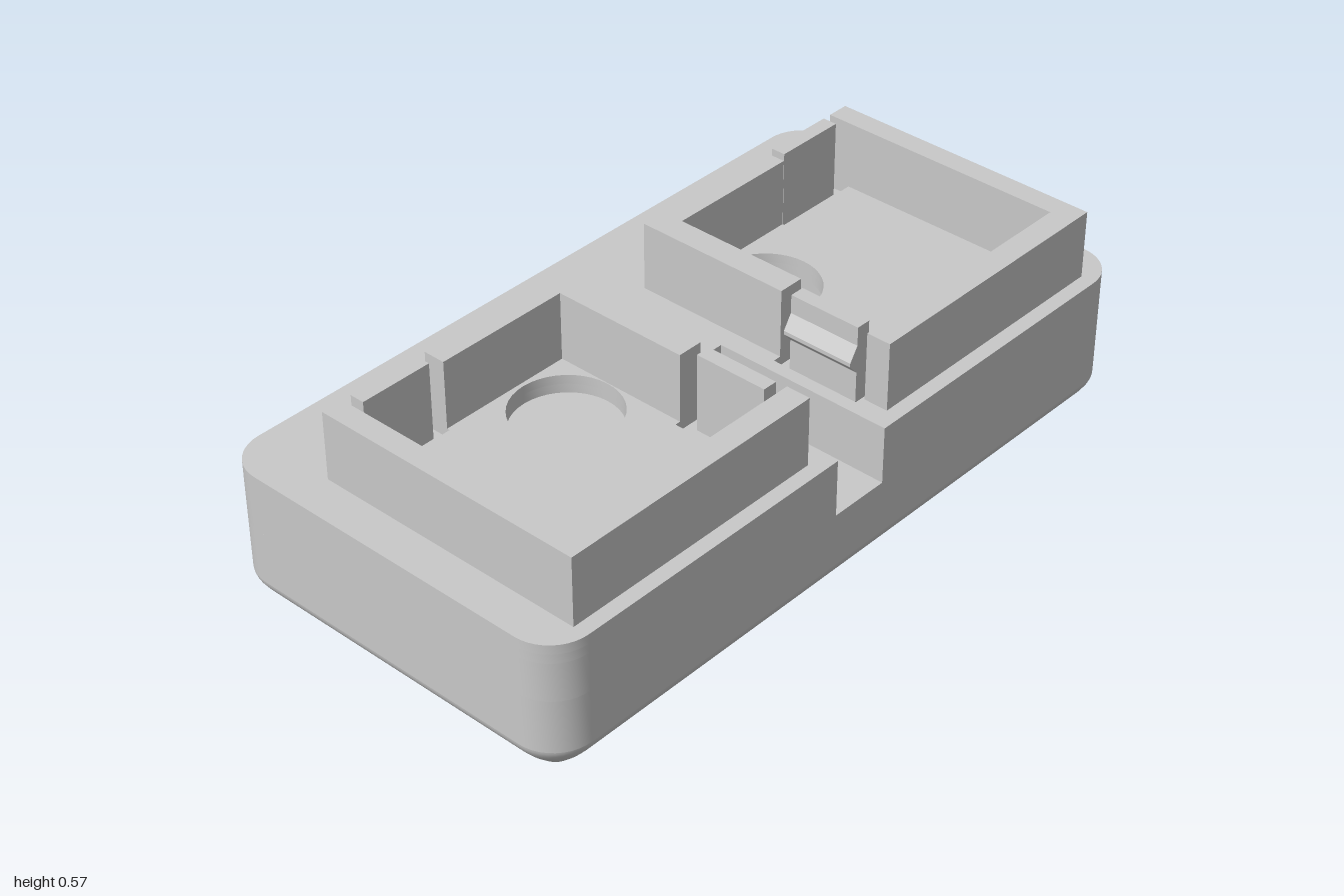
import * as THREE from 'three';
import { toCreasedNormals } from 'three/addons/utils/BufferGeometryUtils.js';

const HX = 1, HZ = 0.518, R = 0.11;              // body half sizes and corner radius
const FLOOR = 0.085, SLOT = 0.23, CEILING = 0.335, RECESS = 0.36, TOP = 0.385, RIM = 0.57;

// Rounded corner in the x/z plane, from angle a0 to a1
function corner(cz, a0, a1, inset = 0, cx = HX - R) {
  const pts = [];
  for (let i = 0; i <= 10; i++) {
    const a = a0 + (a1 - a0) * i / 10;
    pts.push([cx + (R - inset) * Math.cos(a), cz + (R - inset) * Math.sin(a)]);
  }
  return pts;
}

const rect = (x0, x1, z0, z1) => [[x0, z0], [x1, z0], [x1, z1], [x0, z1]];

// Plan outline [x, z] extruded upwards from y0 to y1; s mirrors x
function slab(pts, y0, y1, s, holes = []) {
  const map = list => list.map(([x, z]) => new THREE.Vector2(x * s, -z));
  const shape = new THREE.Shape(map(pts));
  for (const h of holes) shape.holes.push(new THREE.Path(map(h)));
  const g = new THREE.ExtrudeGeometry(shape, { depth: y1 - y0, bevelEnabled: false });
  g.rotateX(-Math.PI / 2).translate(0, y0, 0);
  return toCreasedNormals(g, 0.6);
}

// Bottom of the body: rounded rectangles lofted along a chamfer profile
function baseGeometry() {
  const profile = [[0.065, 0], [0.033, 0.032], [0.016, 0.052], [0.005, 0.069], [0.001, 0.079], [0, FLOOR]];
  const pos = [], idx = [], q = Math.PI / 2;
  let n = 0;
  for (const [inset, y] of profile) {
    const ring = [
      ...corner(HZ - R, 0, q, inset), ...corner(HZ - R, q, 2 * q, inset, R - HX),
      ...corner(R - HZ, 2 * q, 3 * q, inset, R - HX), ...corner(R - HZ, 3 * q, 4 * q, inset),
    ];
    n = ring.length;
    for (const [x, z] of ring) pos.push(x, y, z);
  }
  const last = (profile.length - 1) * n, c = profile.length * n;
  pos.push(0, 0, 0, 0, FLOOR, 0);
  for (let i = 0; i < n; i++) {
    const j = (i + 1) % n;
    for (let k = 0; k < last; k += n) idx.push(k + i, k + n + i, k + j, k + j, k + n + i, k + n + j);
    idx.push(c, i, j, c + 1, last + j, last + i);
  }
  const g = new THREE.BufferGeometry();
  g.setAttribute('position', new THREE.Float32BufferAttribute(pos, 3));
  g.setIndex(idx);
  return toCreasedNormals(g, 0.7);
}

// Prism from a profile in x/y, centred along z
function prism(profile, length) {
  const shape = new THREE.Shape(profile.map(([x, y]) => new THREE.Vector2(x, y)));
  return new THREE.ExtrudeGeometry(shape, { depth: length, bevelEnabled: false }).translate(0, 0, -length / 2);
}

export function createModel() {
  const model = new THREE.Group();
  const grey = new THREE.MeshStandardMaterial({ color: 0xc8c8c8 });
  grey.name = 'grey plastic';
  const add = (name, geometry, x = 0, y = 0, z = 0, ry = 0) => {
    const m = new THREE.Mesh(geometry, grey);
    m.name = name;
    m.position.set(x, y, z);
    m.rotation.y = ry;
    model.add(m);
  };

  add('base', baseGeometry());

  const front = corner(HZ - R, Math.PI / 2, 0), back = corner(R - HZ, 0, -Math.PI / 2);
  const cavityX = 0.555, cavityZ = 0.08, slotX = 0.083, slotZ = 0.02;
  const wall = x0 => [[x0, HZ], ...front, ...back, [cavityX, -HZ], [cavityX, cavityZ], [x0, cavityZ]];
  const deck = [[slotX, HZ], ...front, ...back, [0, -HZ], [0, slotZ], [slotX, slotZ]];
  const hole = [];
  for (let i = 0; i < 40; i++) {
    const a = i / 40 * Math.PI * 2;
    hole.push([0.351 + 0.139 * Math.cos(a), -0.07 + 0.139 * Math.sin(a)]);
  }
  // Shallow clearance cut around each latch
  const recesses = [rect(0.585, 0.835, -0.305, -0.212), rect(0.118, 0.225, 0.155, 0.408)];

  // Tray rim in two pieces, leaving gaps for the two latches
  const outerRim = [[0.835, -0.28], [0.895, -0.28], [0.895, 0.478], [0.14, 0.478], [0.14, 0.412], [0.835, 0.412]];
  const innerRim = [[0.585, -0.28], [0.14, -0.28], [0.14, 0.155], [0.21, 0.155], [0.21, -0.22], [0.585, -0.22]];

  // Springy latch with a wedge on its outer face
  const latch = prism([[-0.04, RECESS], [0, RECESS], [0, 0.445], [0.024, 0.472], [0.024, 0.482],
    [0, 0.52], [0, RIM], [-0.04, RIM]], 0.2);
  const rail = prism([[0, 0.185], [0.028, 0.21], [0, 0.235]], 0.28);

  for (const s of [1, -1]) {
    const side = s > 0 ? 'left' : 'right';
    add(side + 'LowerWall', slab(wall(0), FLOOR, SLOT, s));
    add(side + 'UpperWall', slab(wall(slotX), SLOT, CEILING, s));
    add(side + 'CavityRoof', slab(deck, CEILING, RECESS, s, [hole]));
    add(side + 'Deck', slab(deck, RECESS, TOP, s, [hole, ...recesses]));
    add(side + 'OuterRim', slab(outerRim, TOP, RIM, s));
    add(side + 'InnerRim', slab(innerRim, TOP, RIM, s));
    add(side + 'InnerLatch', latch, s * 0.143, 0, 0.2825, s > 0 ? Math.PI : 0);
    add(side + 'BackLatch', latch, s * 0.71, 0, -0.28, Math.PI / 2);
    add(side + 'CavityRail', rail, s * cavityX, 0, -0.375, s > 0 ? Math.PI : 0);
  }

  // Raised inner floor of the cavity and the ridge across its ceiling
  add('cavityStep', new THREE.BoxGeometry(2 * cavityX, 0.06, 0.3), 0, FLOOR + 0.03, -0.07);
  add('ceilingRidge', prism([[-0.025, CEILING], [0, 0.31], [0.025, CEILING]], 2 * cavityX), 0, 0, -0.235, Math.PI / 2);
  return model;
}
